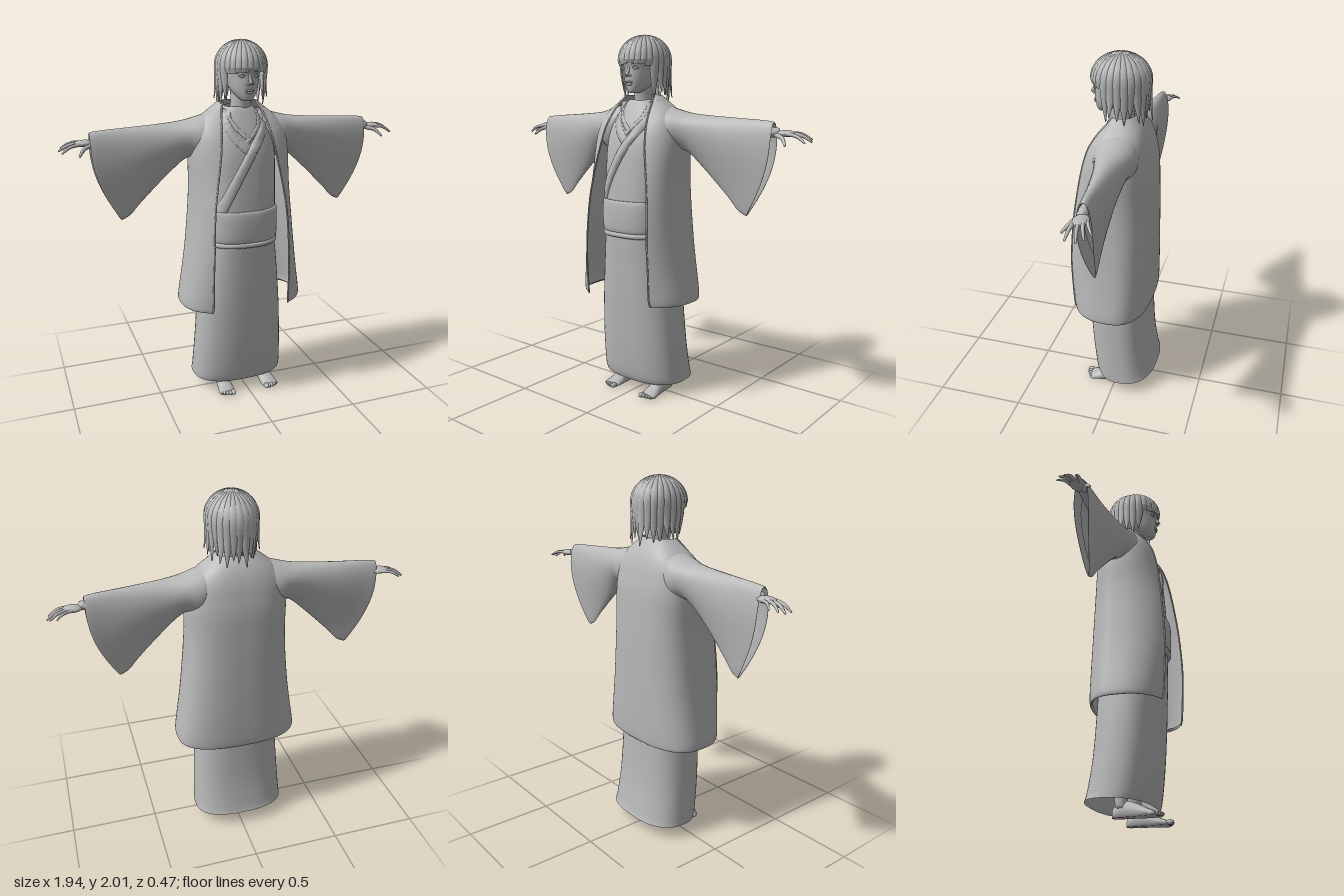
import * as THREE from 'three';

const V = (x, y, z) => new THREE.Vector3(x, y, z);
const grey = new THREE.MeshStandardMaterial({ color: 0xb8b8b8, side: THREE.DoubleSide });
grey.name = 'plain grey';
const CX = -0.017; // the clothes hang slightly off centre

function add(parent, name, geometry) {
  const mesh = new THREE.Mesh(geometry, grey);
  mesh.name = name;
  parent.add(mesh);
  return mesh;
}

// Smoothly interpolates rows of numbers, n steps per span
function refine(keys, n = 4) {
  const out = [], last = keys.length - 1;
  for (let i = 0; i < last; i++) for (let k = 0; k < n; k++) {
    const t = k / n, [a, b, c, d] = [keys[Math.max(i - 1, 0)], keys[i], keys[i + 1], keys[Math.min(i + 2, last)]];
    out.push(b.map((_, j) => b[j] + 0.5 * t * (c[j] - a[j] + t * (2 * a[j] - 5 * b[j] + 4 * c[j] - d[j] + t * (3 * (b[j] - c[j]) + d[j] - a[j])))));
  }
  out.push(keys[last]);
  return out;
}

// Skins a list of cross-sections
function loft(rows, closed = true) {
  const m = rows[0].length, index = [];
  for (let i = 0; i < rows.length - 1; i++) for (let j = 0; j < (closed ? m : m - 1); j++) {
    const a = i * m + j, b = i * m + (j + 1) % m;
    index.push(a, b, a + m, b, b + m, a + m);
  }
  const g = new THREE.BufferGeometry().setFromPoints(rows.flat());
  g.setIndex(index);
  g.computeVertexNormals();
  return g;
}

const spow = (v, p) => Math.sign(v) * Math.abs(v) ** p;

// Upright closed body from rows of [y, halfWidth, zFront, zBack]
function body(keys, { n = 2, cx = 0, seg = 48, tilt = 0 } = {}) {
  return loft(refine(keys).map(([y, w, zf, zb]) => Array.from({ length: seg }, (_, j) => {
    const a = j / seg * Math.PI * 2, z = (zf + zb) / 2 + (zf - zb) / 2 * spow(Math.cos(a), 2 / n);
    return V(cx + w * spow(Math.sin(a), 2 / n), y - tilt * z * Math.max(0, 1 - y / 0.5), z);
  })));
}

// Round tapering limb along a curve
function limb(points, radii, seg = 10) {
  const curve = new THREE.CatmullRomCurve3(points), N = 14, f = curve.computeFrenetFrames(N);
  const rows = [];
  for (let i = 0; i <= N; i++) {
    const p = curve.getPoint(i / N), u = i / N * (radii.length - 1), k = Math.min(Math.floor(u), radii.length - 2);
    const r = THREE.MathUtils.lerp(radii[k], radii[k + 1], u - k);
    rows.push(Array.from({ length: seg }, (_, j) => {
      const a = j / seg * Math.PI * 2;
      return p.clone().addScaledVector(f.normals[i], r * Math.cos(a)).addScaledVector(f.binormals[i], r * Math.sin(a));
    }));
  }
  const end = rows[N][0].clone().add(rows[N][seg / 2]).multiplyScalar(0.5).addScaledVector(f.tangents[N], radii.at(-1) * 0.6);
  rows.push(rows[N].map(() => end.clone()));
  return loft(rows);
}

const ROBE = [[0.068, 0.268, 0.12, -0.228], [0.12, 0.265, 0.137, -0.215], [0.3, 0.255, 0.158, -0.19], [0.55, 0.238, 0.175, -0.178],
  [0.8, 0.213, 0.186, -0.175], [0.92, 0.2, 0.19, -0.17], [1.1, 0.2, 0.188, -0.17], [1.25, 0.2, 0.18, -0.165], [1.4, 0.2, 0.165, -0.165],
  [1.5, 0.185, 0.138, -0.15], [1.58, 0.145, 0.105, -0.13], [1.64, 0.1, 0.075, -0.1], [1.66, 0.072, 0.06, -0.08]];
const ROBE_FINE = refine(ROBE);

// Front surface of the robe at x, y
function robeFront(x, y) {
  const [, w, zf, zb] = ROBE_FINE.find(r => r[0] >= y) || ROBE_FINE.at(-1);
  const q = Math.min(Math.abs(x) / w, 0.94);
  return (zf + zb) / 2 + (zf - zb) / 2 * (1 - q ** 2.5) ** 0.4;
}

// Raised band lying on the robe front
function lapel(keys, half, lift) {
  const path = refine(keys, 8);
  return loft(path.map(([x, y], i) => {
    const a = path[Math.max(i - 1, 0)], b = path[Math.min(i + 1, path.length - 1)];
    const d = new THREE.Vector2(b[0] - a[0], b[1] - a[1]).normalize();
    return [[-1, -0.008], [-1, lift], [0, lift], [1, lift], [1, -0.008]].map(([s, h]) => {
      const px = x - d.y * half * s, py = y + d.x * half * s;
      return V(CX + px, py, robeFront(px, py) + h);
    });
  }), false);
}

// Open-fronted coat from rows of [y, halfWidth, zEdge, zBack, halfOpening]
function coatBody() {
  const keys = [[0.572, 0.33, 0.205, -0.18, 0.235], [0.56, 0.348, 0.214, -0.19, 0.225], [0.6, 0.35, 0.224, -0.197, 0.22], [0.75, 0.325, 0.232, -0.2, 0.22],
    [0.9, 0.303, 0.235, -0.2, 0.215], [1.1, 0.283, 0.222, -0.198, 0.205], [1.25, 0.275, 0.205, -0.194, 0.185], [1.4, 0.276, 0.182, -0.187, 0.158],
    [1.5, 0.265, 0.155, -0.17, 0.143], [1.56, 0.243, 0.125, -0.155, 0.132], [1.61, 0.2, 0.09, -0.135, 0.122], [1.65, 0.15, 0.055, -0.11, 0.11], [1.685, 0.108, 0.03, -0.08, 0.092]];
  const n = 2.6, zc = 0, seg = 56;
  const rows = refine(keys).map(([y, w, ze, zb, o]) => {
    const front = (ze - zc) / (1 - (o / w) ** n) ** (1 / n), end = Math.PI - Math.asin((o / w) ** (n / 2));
    return Array.from({ length: seg + 1 }, (_, j) => {
      const a = (j / seg * 2 - 1) * end, c = -Math.cos(a);
      return V(CX + w * spow(Math.sin(a), 2 / n), y, zc + spow(c, 2 / n) * (c > 0 ? front : -zb));
    });
  });
  return { surface: loft(rows, false), edges: [rows.map(r => r[0]), rows.map(r => r[seg])] };
}

// Hanging sleeve: [topX, topY, bottomX, bottomY, halfDepth, zCentre, taper, bow]
function sleeve(s) {
  const keys = [[0.1, 1.645, 0.17, 1.34, 0.1, -0.02, 0, 0], [0.2, 1.617, 0.225, 1.37, 0.125, -0.018, 0.1, 0], [0.3, 1.592, 0.285, 1.39, 0.108, -0.026, 0.25, 0],
    [0.41, 1.58, 0.38, 1.315, 0.09, -0.03, 0.4, 0.01], [0.6, 1.568, 0.54, 1.16, 0.072, -0.037, 0.6, 0.03], [0.72, 1.561, 0.6, 1.095, 0.06, -0.04, 0.65, 0.04],
    [0.79, 1.553, 0.65, 1.07, 0.054, -0.042, 0.65, 0.045], [0.78, 1.543, 0.645, 1.09, 0.046, -0.042, 0.65, 0.045], [0.7, 1.54, 0.59, 1.13, 0.045, -0.042, 0.65, 0.035]];
  return loft(refine(keys).map(([tx, ty, bx, by, w, zc, taper, bow]) => Array.from({ length: 32 }, (_, j) => {
    const a = j / 32 * Math.PI * 2, k = (1 - Math.cos(a)) / 2;
    return V(CX + s * (tx + (bx - tx) * k + bow * Math.sin(Math.PI * k)), ty + (by - ty) * k, zc + w * Math.sin(a) * (1 - taper * k));
  })));
}

// Lock of hair falling from the crown over the skull to a tip
function lock(deg, width, tipY, flare, blunt) {
  const th = deg * Math.PI / 180, rows = [], N = 18;
  for (let i = 0; i <= N; i++) {
    const u = i / N, p = Math.min(u / 0.5, 1) * Math.PI / 2, fall = Math.max(0, (u - 0.5) / 0.5);
    const r = Math.sin(p) * (1 + flare * fall * fall);
    const c = V(0.13 * r * Math.sin(th), 1.87 + 0.125 * Math.cos(p) - (1.87 - tipY) * fall, 0.003 + 0.15 * r * Math.cos(th));
    const w = width * Math.min(1, 0.12 + Math.sin(p)) * (1 - (1 - blunt) * fall ** 1.8), t = 0.011 * (1 - fall * 0.8);
    const side = V(Math.cos(th), 0, -Math.sin(th)), out = V(Math.sin(th) * Math.sin(p), Math.cos(p), Math.cos(th) * Math.sin(p));
    rows.push(Array.from({ length: 8 }, (_, j) => {
      const a = j / 8 * Math.PI * 2;
      return c.clone().addScaledVector(side, w * Math.cos(a)).addScaledVector(out, t * Math.sin(a) - 0.25 * w * Math.cos(a) ** 2);
    }));
  }
  return loft(rows);
}

function ball(parent, name, [x, y, z], [sx, sy, sz]) {
  const g = new THREE.SphereGeometry(1, 16, 12).scale(sx, sy, sz);
  add(parent, name, g).position.set(x, y, z);
}

function buildHead() {
  const head = new THREE.Group();
  head.name = 'head';
  add(head, 'skull', body([[1.693, 0.004, 0.105, 0.09], [1.697, 0.026, 0.124, 0.06], [1.712, 0.043, 0.133, 0.02], [1.745, 0.066, 0.138, -0.04], [1.785, 0.079, 0.142, -0.09],
    [1.83, 0.088, 0.142, -0.115], [1.88, 0.093, 0.15, -0.125], [1.94, 0.08, 0.125, -0.11], [1.975, 0.03, 0.05, -0.04]], { n: 2.2 }));
  add(head, 'neck', body([[1.56, 0.08, 0.08, -0.09], [1.63, 0.06, 0.066, -0.07], [1.68, 0.054, 0.068, -0.066], [1.75, 0.055, 0.08, -0.07]]));
  add(head, 'nose', limb([V(0, 1.835, 0.138), V(0, 1.81, 0.147), V(0, 1.788, 0.157)], [0.006, 0.008, 0.011]));
  ball(head, 'upperLip', [0, 1.751, 0.139], [0.024, 0.006, 0.009]);
  ball(head, 'lowerLip', [0, 1.74, 0.137], [0.02, 0.007, 0.009]);
  for (const s of [-1, 1]) {
    ball(head, 'nostril', [s * 0.011, 1.786, 0.145], [0.008, 0.007, 0.009]);
    ball(head, 'eye', [s * 0.038, 1.824, 0.13], [0.015, 0.007, 0.008]);
    add(head, 'eyelid', limb([V(s * 0.018, 1.823, 0.136), V(s * 0.037, 1.833, 0.136), V(s * 0.058, 1.824, 0.122)], [0.002, 0.004, 0.002], 6));
    add(head, 'eyebrow', limb([V(s * 0.016, 1.844, 0.142), V(s * 0.04, 1.852, 0.136), V(s * 0.064, 1.845, 0.119)], [0.003, 0.005, 0.002], 6));
  }
  // Hair: cap, fringe and long back and side locks
  const cap = new THREE.SphereGeometry(1, 32, 12, 0, Math.PI * 2, 0, Math.PI / 2).scale(0.125, 0.122, 0.145);
  add(head, 'hairCap', cap).position.set(0, 1.87, 0.003);
  for (let i = -4; i <= 4; i++) add(head, 'fringeLock', lock(i * 13, 0.026, 1.853 - 0.004 * Math.abs(i) + (i % 2) * 0.004, 0, 0.75));
  for (let i = 0; i < 17; i++) {
    const deg = 66 + i * 14.25, back = Math.max(0, -Math.cos(deg * Math.PI / 180));
    add(head, 'longLock', lock(deg, 0.029, 1.685 - 0.02 * back + 0.018 * ((i * 5) % 3 - 1), -0.12 + 0.07 * ((i * 3) % 4), 0.06));
  }
  return head;
}

function buildHand(s) {
  const hand = new THREE.Group();
  hand.name = s > 0 ? 'leftArm' : 'rightArm';
  const P = (x, y, z) => V(s * x, y, z);
  add(hand, 'forearm', limb([P(0.3, 1.5, -0.03), P(0.6, 1.5, -0.035), P(0.8, 1.502, -0.042)], [0.045, 0.038, 0.023], 14));
  ball(hand, 'palm', [s * 0.838, 1.497, -0.052], [0.052, 0.017, 0.038]);
  const fingers = [['thumb', 0.815, 1.49, -0.03, 0.874, 1.443, 0.028, 0.011], ['indexFinger', 0.868, 1.497, -0.028, 0.955, 1.456, -0.016, 0.0095],
    ['middleFinger', 0.873, 1.5, -0.047, 0.966, 1.46, -0.07, 0.0095], ['ringFinger', 0.868, 1.5, -0.066, 0.952, 1.47, -0.102, 0.009], ['littleFinger', 0.855, 1.498, -0.08, 0.92, 1.478, -0.127, 0.008]];
  for (const [name, x, y, z, X, Y, Z, r] of fingers)
    add(hand, name, limb([P(x - 0.02, y, z), P((x + X) / 2, (y + Y) / 2 + 0.009, (z + Z) / 2), P(X, Y, Z)], [r * 1.1, r, r * 0.85, r * 0.5]));
  return hand;
}

function buildLeg(s) {
  const leg = new THREE.Group();
  leg.name = s > 0 ? 'leftLeg' : 'rightLeg';
  add(leg, 'shin', limb([V(s * 0.11, 0.5, -0.03), V(s * 0.118, 0.3, -0.035), V(s * 0.128, 0.13, -0.03), V(s * 0.13, 0.045, -0.025)], [0.055, 0.052, 0.035, 0.032], 16));
  const keys = [[-0.074, 0.002, 0.03], [-0.068, 0.02, 0.05], [-0.045, 0.03, 0.07], [0, 0.034, 0.085], [0.06, 0.039, 0.066], [0.11, 0.046, 0.042], [0.145, 0.045, 0.028], [0.158, 0.03, 0.018]];
  add(leg, 'foot', loft(refine(keys).map(([z, w, h]) => Array.from({ length: 20 }, (_, j) => {
    const a = j / 20 * Math.PI * 2;
    return V(s * (0.128 + 0.05 * Math.max(z, 0)) + w * Math.cos(a), Math.max(0, h * (0.35 + 0.65 * Math.sin(a))), z);
  }))));
  for (let i = 0; i < 5; i++)
    ball(leg, 'toe', [s * (0.104 + i * 0.0175), 0.014 - i * 0.001, 0.164 - i * i * 0.0018], [i ? 0.0085 : 0.013, i ? 0.011 : 0.014, 0.022]);
  return leg;
}

function buildClothes() {
  const clothes = new THREE.Group();
  clothes.name = 'clothes';
  add(clothes, 'robe', body(ROBE, { n: 2.5, cx: CX, tilt: 0.06 }));
  // Crossed collars
  add(clothes, 'innerCollar', lapel([[-0.075, 1.65], [-0.075, 1.6], [-0.045, 1.55], [0.02, 1.49]], 0.012, 0.006));
  add(clothes, 'innerCollar', lapel([[0.09, 1.65], [0.09, 1.6], [0.07, 1.55], [0, 1.48]], 0.012, 0.006));
  add(clothes, 'underLapel', lapel([[-0.1, 1.65], [-0.098, 1.58], [-0.05, 1.49], [0.04, 1.405]], 0.022, 0.009));
  add(clothes, 'overLapel', lapel([[0.115, 1.65], [0.122, 1.57], [0.02, 1.425], [-0.08, 1.26], [-0.16, 1.1]], 0.024, 0.014));
  // Sash with a cord along its lower edge
  const sash = (y0, y1, w, f) => body([[y0, w - 0.012, f - 0.02, -0.165], [y0 + 0.006, w, f, -0.182], [(y0 + y1) / 2, w + 0.002, f + 0.005, -0.184],
    [y1 - 0.006, w, f, -0.182], [y1, w - 0.012, f - 0.02, -0.165]], { n: 2.5, cx: CX });
  add(clothes, 'sash', sash(0.938, 1.112, 0.206, 0.206));
  add(clothes, 'sashCord', sash(0.905, 0.94, 0.205, 0.202));
  const coat = coatBody();
  add(clothes, 'coat', coat.surface);
  for (const edge of coat.edges) add(clothes, 'coatEdge', new THREE.TubeGeometry(new THREE.CatmullRomCurve3(edge.slice(4)), 60, 0.005, 6));
  for (const s of [-1, 1]) add(clothes, s > 0 ? 'leftSleeve' : 'rightSleeve', sleeve(s));
  return clothes;
}

export function createModel() {
  const model = new THREE.Group();
  model.name = 'robedFigure';
  model.add(buildHead(), buildClothes());
  for (const s of [-1, 1]) model.add(buildHand(s), buildLeg(s));
  return model;
}
